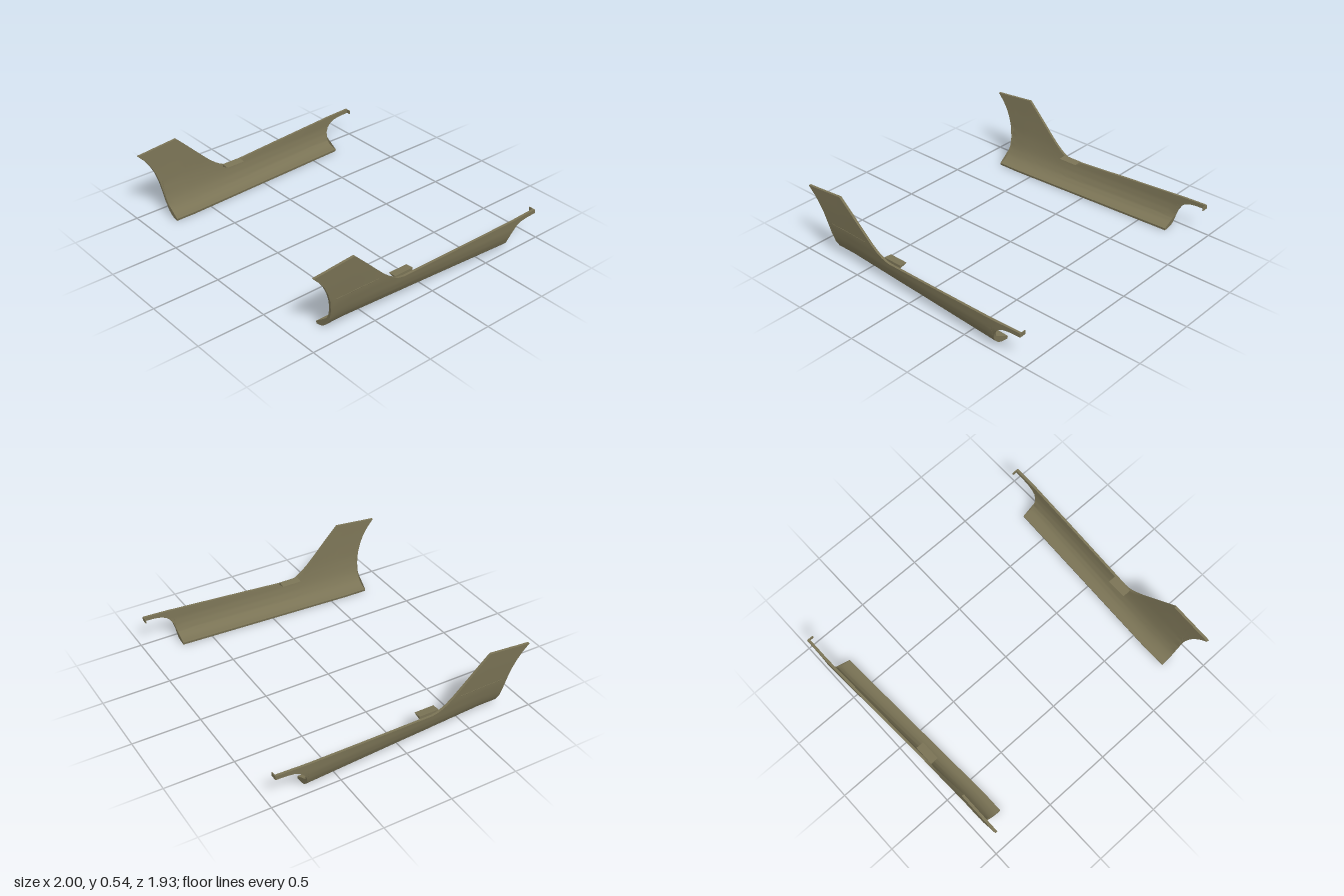
import * as THREE from 'three';
import { toCreasedNormals } from 'three/addons/utils/BufferGeometryUtils.js';

const paint = new THREE.MeshStandardMaterial({ color: 0x7a7355, side: THREE.DoubleSide });
const THICK = 0.018;

// Stations along the skirt: [z, lower edge y, upper edge y]
const STATIONS = [
  [-0.96, 0.21, 0.24], [-0.88, 0.206, 0.237], [-0.83, 0.198, 0.235], [-0.79, 0.18, 0.233],
  [-0.76, 0.15, 0.232], [-0.742, 0.115, 0.231], [-0.733, 0.075, 0.23], [-0.73, 0, 0.23],
  [0.22, 0, 0.19], [0.26, 0, 0.197], [0.29, 0, 0.21], [0.33, 0, 0.235], [0.38, 0, 0.275],
  [0.46, 0, 0.353], [0.55, 0, 0.443], [0.65, 0, 0.54], [0.8, 0, 0.526], [0.803, 0.1, 0.526],
  [0.81, 0.18, 0.525], [0.825, 0.265, 0.524], [0.85, 0.34, 0.521], [0.88, 0.4, 0.518],
  [0.92, 0.457, 0.515], [0.968, 0.507, 0.511],
];

// Outer x by height, at the rear and at the front
const HEIGHT = [0, 0.006, 0.02, 0.05, 0.1, 0.15, 0.24, 0.4, 0.54];
const REAR = [0.85, 0.9, 0.937, 0.967, 0.987, 0.997, 1, 1, 1];
const FRONT = [0.785, 0.82, 0.85, 0.885, 0.915, 0.932, 0.951, 0.966, 0.975];

function lookup(xs, ys, x) {
  let i = 0;
  while (i < xs.length - 2 && x > xs[i + 1]) i++;
  const t = THREE.MathUtils.clamp((x - xs[i]) / (xs[i + 1] - xs[i]), 0, 1);
  return THREE.MathUtils.lerp(ys[i], ys[i + 1], t);
}

function outerX(y, z) {
  const t = THREE.MathUtils.clamp((z + 0.76) / 1.4, 0, 1);
  return THREE.MathUtils.lerp(lookup(HEIGHT, REAR, y), lookup(HEIGHT, FRONT, y), t);
}

// Closed section: up the outer face, then down the inner face
function section([z, low, high], n) {
  const outer = [], inner = [];
  for (let j = 0; j < n; j++) {
    const y = low + (high - low) * Math.pow(j / (n - 1), 1.8);
    const x = outerX(y, z);
    const y0 = Math.max(0, y - 0.01), y1 = y + 0.01;
    const slope = (outerX(y1, z) - outerX(y0, z)) / (y1 - y0);
    const k = THICK / Math.hypot(1, slope);
    outer.push([x, y, z]);
    inner.unshift([x - k, Math.min(y + k * slope, high), z]);
  }
  return outer.concat(inner);
}

function panelGeometry() {
  const n = 22, ring = 2 * n, stations = [STATIONS[0]];
  for (let i = 1; i < STATIONS.length; i++) {
    const a = STATIONS[i - 1], b = STATIONS[i];
    const steps = Math.ceil((b[0] - a[0]) / 0.06);
    for (let s = 1; s <= steps; s++) stations.push(a.map((v, c) => v + (b[c] - v) * s / steps));
  }
  const positions = stations.flatMap((s) => section(s, n).flat());
  const index = [], last = (stations.length - 1) * ring;
  for (let i = 0; i < stations.length - 1; i++) {
    for (let j = 0; j < ring; j++) {
      const a = i * ring + j, b = i * ring + (j + 1) % ring;
      index.push(a, b, a + ring, b, b + ring, a + ring);
    }
  }
  // End caps
  for (let k = 0; k < n - 1; k++) {
    const a = k, b = k + 1, c = ring - 2 - k, d = ring - 1 - k;
    index.push(a, c, b, a, d, c);
    index.push(last + a, last + b, last + c, last + a, last + c, last + d);
  }
  const g = new THREE.BufferGeometry();
  g.setAttribute('position', new THREE.Float32BufferAttribute(positions, 3));
  g.setIndex(index);
  return toCreasedNormals(g, 0.7);
}

// Wedge-shaped flap behind the foot of the fin
function flapGeometry() {
  const shape = new THREE.Shape();
  shape.moveTo(0.88, 0.204);
  shape.lineTo(0.94, 0.188);
  shape.lineTo(0.94, 0.21);
  shape.closePath();
  return new THREE.ExtrudeGeometry(shape, { depth: 0.15, bevelEnabled: false }).translate(0, 0, 0.13);
}

// Hooked tab at the rear tip
function tabGeometry() {
  return new THREE.BoxGeometry(0.05, 0.028, 0.006).translate(0.975, 0.225, -0.963);
}

// Fine raised line across the fin
function ribGeometry() {
  const points = [0.44, 0.52, 0.6, 0.7, 0.78].map((z) => new THREE.Vector3(outerX(0.27, z) - 0.001, 0.27, z));
  return new THREE.TubeGeometry(new THREE.CatmullRomCurve3(points), 16, 0.003, 6, false);
}

// Mirror in x and restore the facing of each triangle
function mirrored(geometry) {
  const g = geometry.index ? geometry.toNonIndexed() : geometry.clone();
  g.scale(-1, 1, 1);
  for (const name of ['position', 'normal']) {
    const a = g.attributes[name].array;
    for (let i = 0; i < a.length; i += 9) {
      for (let c = 3; c < 6; c++) [a[i + c], a[i + c + 3]] = [a[i + c + 3], a[i + c]];
    }
  }
  return g;
}

export function createModel() {
  const model = new THREE.Group();
  model.name = 'sideSkirts';
  const parts = {
    skirtPanel: panelGeometry(), finFlap: flapGeometry(), rearTab: tabGeometry(), finRib: ribGeometry(),
  };
  for (const side of ['left', 'right']) {
    const skirt = new THREE.Group();
    skirt.name = side + 'Skirt';
    for (const [name, geometry] of Object.entries(parts)) {
      const mesh = new THREE.Mesh(side === 'left' ? geometry : mirrored(geometry), paint);
      mesh.name = name;
      skirt.add(mesh);
    }
    model.add(skirt);
  }
  return model;
}
